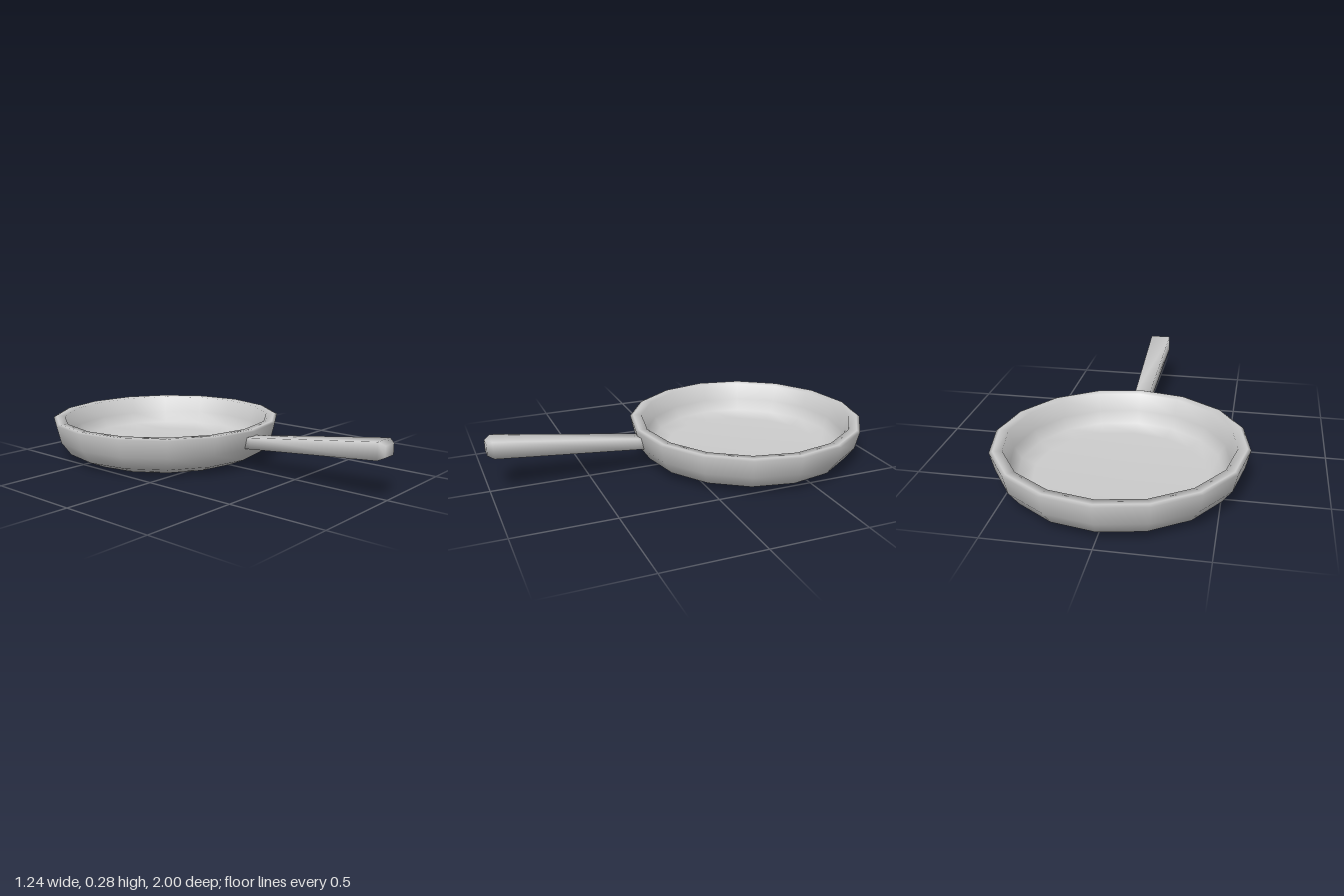
import * as THREE from 'three';

const material = new THREE.MeshStandardMaterial({ color: 0xcccccc });

// Low-poly dish: outer wall, rolled rim, inner wall and floor
function createPan() {
  const profile = [
    [0, 0], [0.46, 0], [0.55, 0.04], [0.6, 0.11], [0.622, 0.203],
    [0.605, 0.21], [0.56, 0.207], [0.535, 0.12], [0.5, 0.06], [0.43, 0.03], [0, 0.03],
  ].map(([r, y]) => new THREE.Vector2(r, y));
  const pan = new THREE.Mesh(new THREE.LatheGeometry(profile, 16), material);
  pan.name = 'pan';
  pan.position.z = -0.378;
  return pan;
}

// Handle: rectangular sections lofted along z, closed at both ends
function createHandle() {
  const sections = [ // z, half width, bottom, top
    [0.19, 0.039, 0.113, 0.175],
    [0.25, 0.041, 0.119, 0.178],
    [0.97, 0.057, 0.189, 0.275],
    [1.0, 0.038, 0.203, 0.258],
  ];
  const positions = [];
  const indices = [];
  sections.forEach(([z, w, bottom, top]) => {
    positions.push(-w, bottom, z, w, bottom, z, w, top, z, -w, top, z);
  });
  for (let s = 0; s < sections.length - 1; s++) {
    for (let i = 0; i < 4; i++) {
      const a = s * 4 + i, b = s * 4 + (i + 1) % 4;
      indices.push(a, b, b + 4, a, b + 4, a + 4);
    }
  }
  const e = (sections.length - 1) * 4;
  indices.push(0, 2, 1, 0, 3, 2, e, e + 1, e + 2, e, e + 2, e + 3);
  const geometry = new THREE.BufferGeometry();
  geometry.setAttribute('position', new THREE.Float32BufferAttribute(positions, 3));
  geometry.setIndex(indices);
  geometry.computeVertexNormals();
  const handle = new THREE.Mesh(geometry, material);
  handle.name = 'handle';
  return handle;
}

export function createModel() {
  const group = new THREE.Group();
  group.name = 'fryingPan';
  group.add(createPan(), createHandle());
  return group;
}
